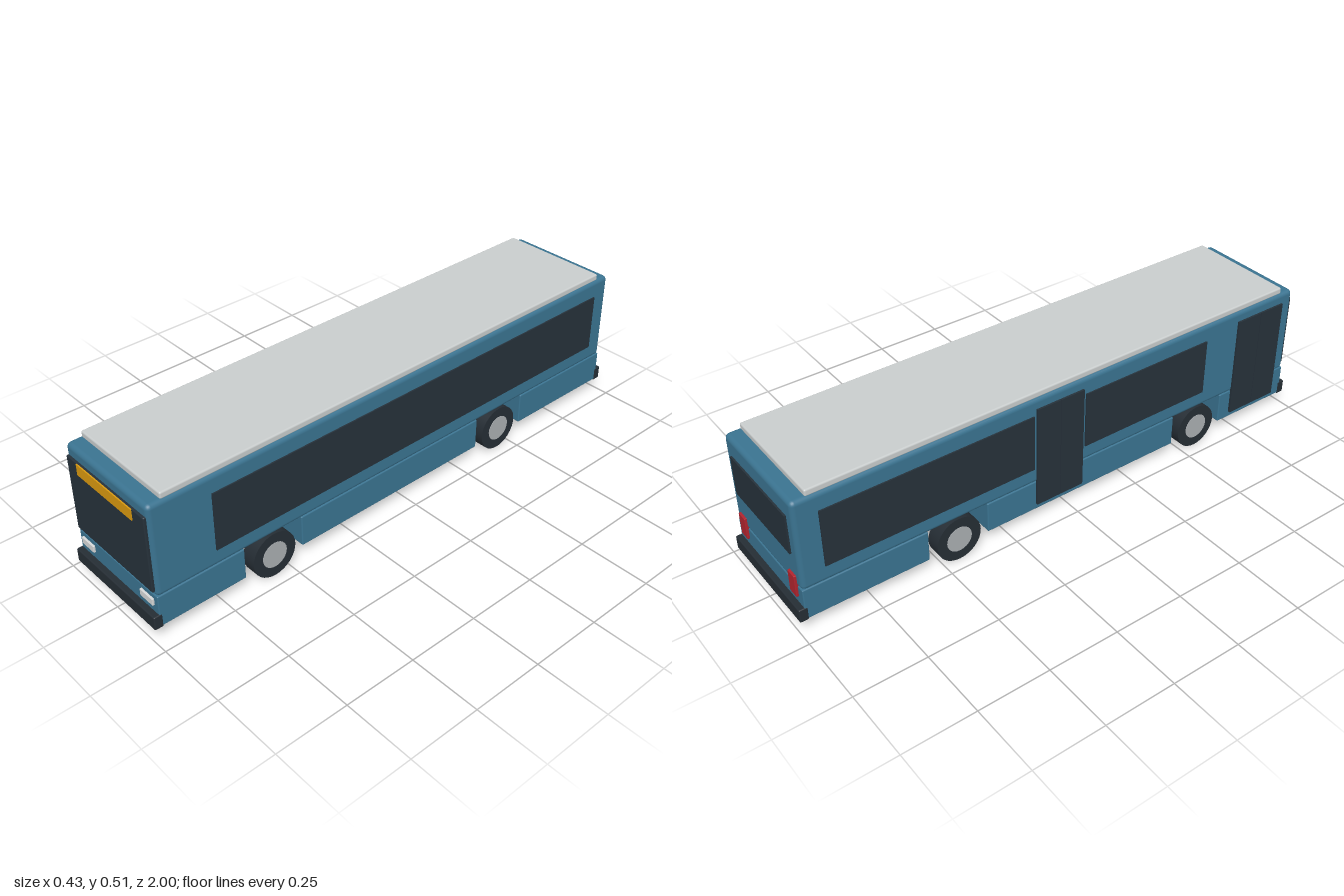
import * as THREE from 'three';
import { RoundedBoxGeometry } from 'three/addons/geometries/RoundedBoxGeometry.js';

const material = (name, color) => {
  const m = new THREE.MeshStandardMaterial({ color });
  m.name = name;
  return m;
};

export function createModel() {
  const bus = new THREE.Group();
  bus.name = 'bus';

  const paint = material('bluePaint', 0x3a7390);
  const roofGrey = material('roofGrey', 0xc8cccc);
  const glass = material('darkGlass', 0x26313a);
  const rubber = material('rubber', 0x252d34);
  const metal = material('wheelMetal', 0xa9adb0);
  const amber = material('amberSign', 0xd8980f);
  const lamp = material('headlightWhite', 0xd6d8d8);
  const red = material('tailRed', 0xb0242e);

  // Box given by its limits on each axis, rounded when r > 0
  const box = (name, mat, [x0, x1], [y0, y1], [z0, z1], r = 0) => {
    const size = [x1 - x0, y1 - y0, z1 - z0];
    const geometry = r ? new RoundedBoxGeometry(...size, 3, r) : new THREE.BoxGeometry(...size);
    const mesh = new THREE.Mesh(geometry, mat);
    mesh.name = name;
    mesh.position.set((x0 + x1) / 2, (y0 + y1) / 2, (z0 + z1) / 2);
    bus.add(mesh);
    return mesh;
  };

  // Upper body and roof cover
  box('upperBody', paint, [-0.207, 0.207], [0.162, 0.488], [-0.98, 0.98], 0.016);
  box('roofCover', roofGrey, [-0.199, 0.199], [0.484, 0.508], [-0.93, 0.93], 0.006);

  // Lower body in three blocks, leaving open wheel bays between them
  for (const z of [[0.67, 0.98], [-0.33, 0.45], [-0.98, -0.55]]) {
    box('lowerBody', paint, [-0.206, 0.206], [0.053, 0.165], z, 0.004);
  }

  // Bumpers
  box('frontBumper', rubber, [-0.207, 0.207], [0.05, 0.098], [0.97, 1], 0.004);
  box('rearBumper', rubber, [-0.207, 0.207], [0.05, 0.098], [-1, -0.97], 0.004);

  // Front face
  box('windshield', glass, [-0.197, 0.197], [0.18, 0.45], [0.972, 0.988], 0.004);
  box('destinationSign', amber, [-0.14, 0.14], [0.41, 0.449], [0.986, 0.991]);

  // Rear face
  box('rearWindow', glass, [-0.17, 0.17], [0.285, 0.425], [-0.986, -0.978]);

  // Headlights and tail lights, mirrored
  for (const s of [-1, 1]) {
    const span = (a, b) => [Math.min(s * a, s * b), Math.max(s * a, s * b)];
    box('headlight', lamp, span(0.123, 0.187), [0.124, 0.149], [0.976, 0.987], 0.002);
    box('tailLight', red, span(0.138, 0.178), [0.125, 0.205], [-0.988, -0.976], 0.002);
  }

  // Side windows: one long pane on the left, two panes on the right
  box('leftWindow', glass, [0.203, 0.212], [0.222, 0.427], [-0.91, 0.77]);
  for (const z of [[-0.9, -0.15], [0.055, 0.575]]) {
    box('rightWindow', glass, [-0.212, -0.203], [0.222, 0.427], z);
  }

  // Doors on the right, each with two leaves
  for (const [z0, z1] of [[-0.14, 0.045], [0.72, 0.93]]) {
    const mid = (z0 + z1) / 2;
    for (const z of [[z0, mid - 0.001], [mid + 0.001, z1]]) {
      box('doorLeaf', glass, [-0.214, -0.204], [0.075, 0.45], z);
    }
  }

  // Wheels with hubs showing on both faces
  const tyreGeometry = new THREE.CylinderGeometry(0.081, 0.081, 0.053, 32).rotateZ(Math.PI / 2);
  const hubGeometry = new THREE.CylinderGeometry(0.046, 0.046, 0.056, 24).rotateZ(Math.PI / 2);
  for (const z of [0.56, -0.44]) {
    for (const s of [-1, 1]) {
      const wheel = new THREE.Group();
      wheel.name = 'wheel';
      const tyre = new THREE.Mesh(tyreGeometry, rubber);
      tyre.name = 'tyre';
      const hub = new THREE.Mesh(hubGeometry, metal);
      hub.name = 'hub';
      wheel.add(tyre, hub);
      wheel.position.set(s * 0.18, 0.081, z);
      bus.add(wheel);
    }
  }

  return bus;
}
